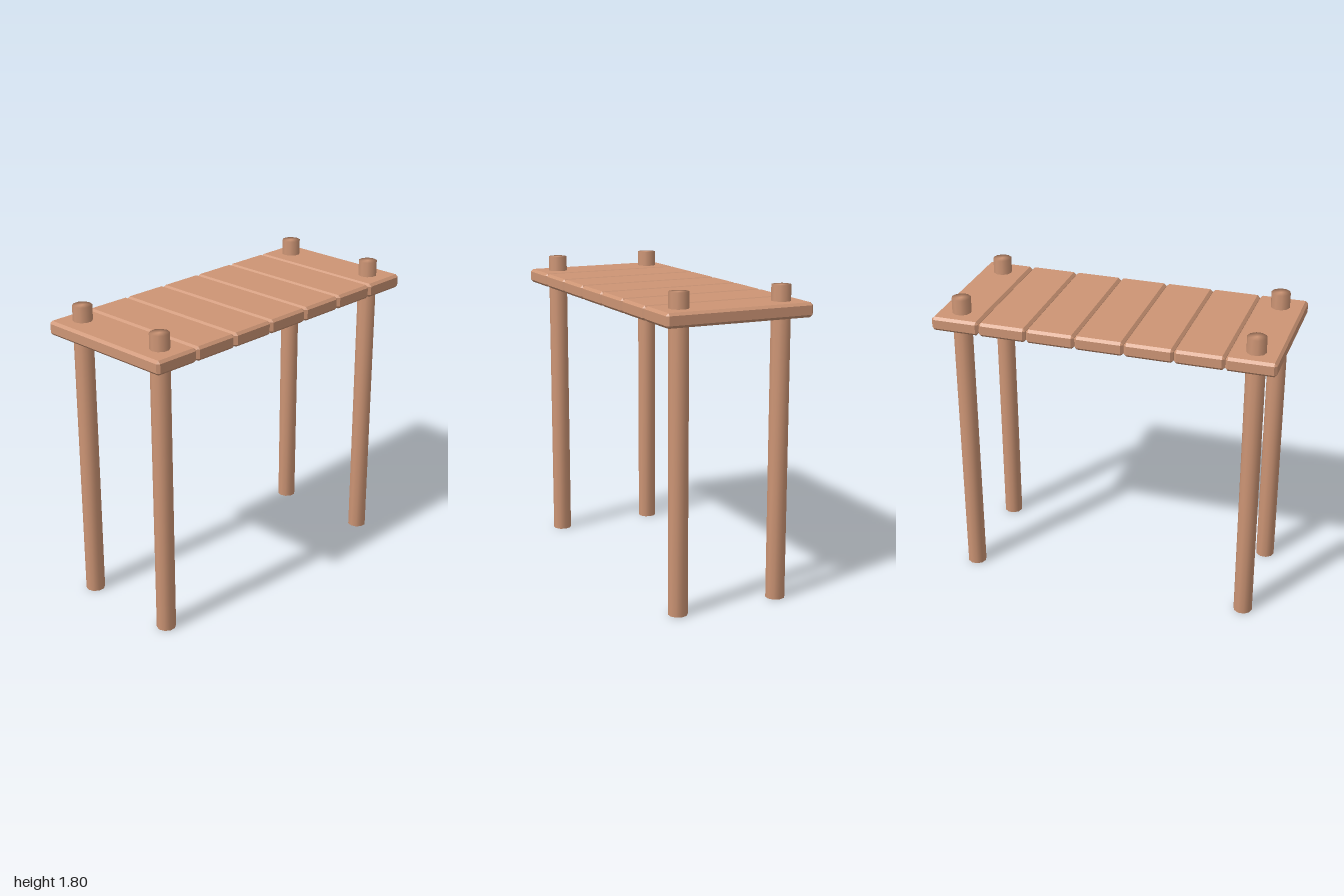
import * as THREE from 'three';
import { mergeVertices } from 'three/addons/utils/BufferGeometryUtils.js';
import { ConvexGeometry } from 'three/addons/geometries/ConvexGeometry.js';

// Box with every edge and corner chamfered by c
function chamferBox(w, h, d, c) {
  const half = [w / 2, h / 2, d / 2];
  const points = [];
  for (const sx of [-1, 1]) for (const sy of [-1, 1]) for (const sz of [-1, 1]) {
    for (let face = 0; face < 3; face++) {
      const p = half.map((v, axis) => (axis === face ? v : v - c));
      points.push(new THREE.Vector3(sx * p[0], sy * p[1], sz * p[2]));
    }
  }
  return new ConvexGeometry(points);
}

// Round pole whose shading flows over its ends
function poleGeometry(radius, height) {
  let geometry = new THREE.CylinderGeometry(radius, radius, height, 10);
  geometry.deleteAttribute('normal');
  geometry.deleteAttribute('uv');
  geometry = mergeVertices(geometry, 1e-4);
  geometry.computeVertexNormals();
  return geometry;
}

export function createModel() {
  const model = new THREE.Group();
  model.name = 'plankPier';
  const wood = new THREE.MeshStandardMaterial({ color: 0xcd9575 });

  // Deck: seven planks laid side by side
  const deck = new THREE.Group();
  deck.name = 'deck';
  const plank = chamferBox(0.885, 0.082, 0.284, 0.015);
  for (let i = 0; i < 7; i++) {
    const mesh = new THREE.Mesh(plank, wood);
    mesh.name = `plank${i + 1}`;
    mesh.position.set(0, 1.67, (i - 3) * 0.286);
    deck.add(mesh);
  }
  model.add(deck);

  // Four posts rising through the end planks
  const post = poleGeometry(0.056, 1.8);
  for (const [zName, z] of [['front', 0.86], ['back', -0.861]]) {
    for (const [xName, x] of [['Left', 0.306], ['Right', -0.316]]) {
      const mesh = new THREE.Mesh(post, wood);
      mesh.name = `${zName}${xName}Post`;
      mesh.position.set(x, 0.9, z);
      model.add(mesh);
    }
  }
  return model;
}
